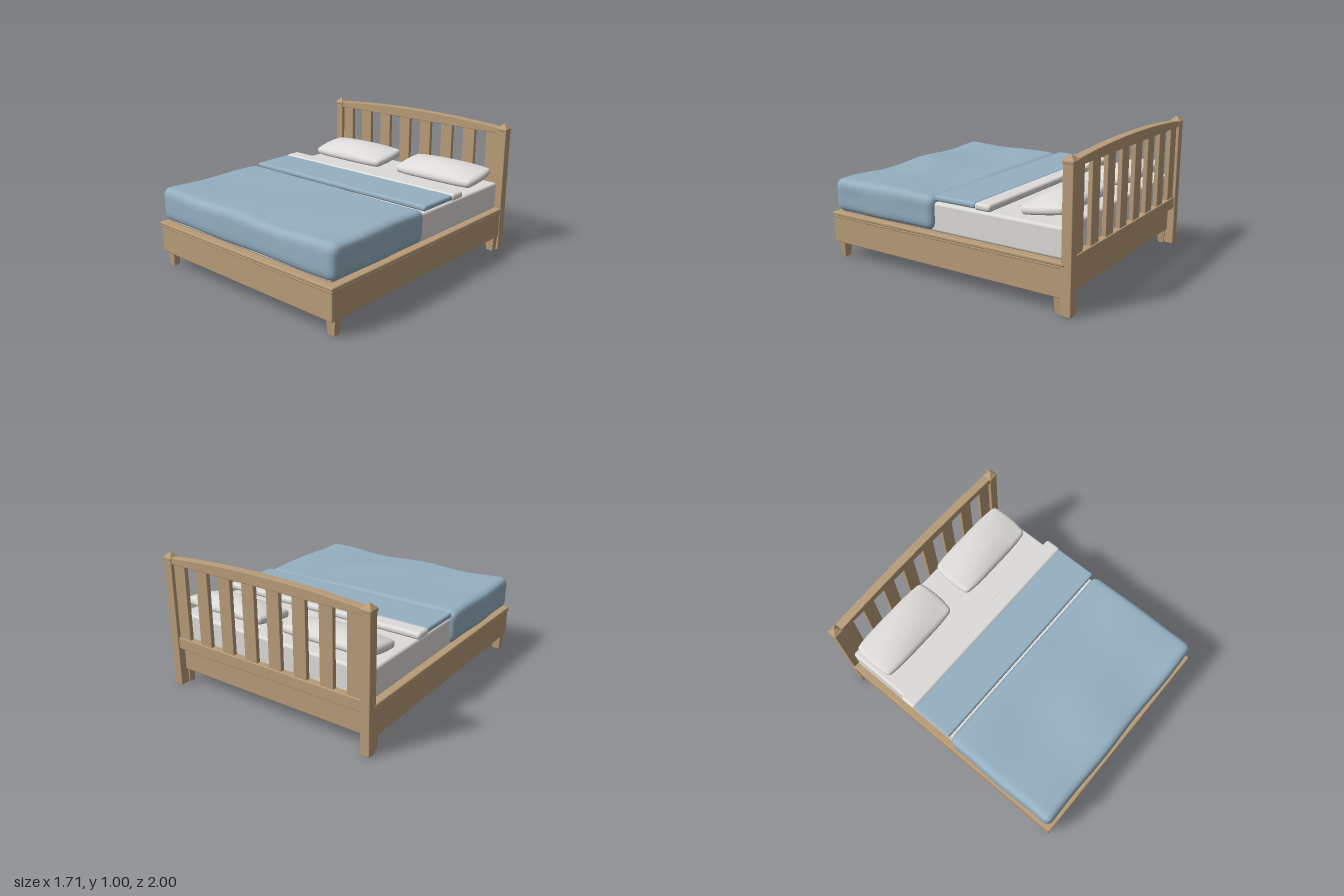
import * as THREE from 'three';
import { mergeVertices } from 'three/addons/utils/BufferGeometryUtils.js';
import { RoundedBoxGeometry } from 'three/addons/geometries/RoundedBoxGeometry.js';

const mat = (name, color) => {
  const m = new THREE.MeshStandardMaterial({ color });
  m.name = name;
  return m;
};

// Finely divided box with rounded edges, then bent by a rule (p, u, v, w in -1..1)
function softBox(w, h, d, r, bend, segs = [48, 10, 32]) {
  let g = new THREE.BoxGeometry(2, 2, 2, ...segs);
  g.deleteAttribute('uv');
  g.deleteAttribute('normal');
  g = mergeVertices(g);
  const pos = g.attributes.position;
  const half = new THREE.Vector3(w / 2, h / 2, d / 2);
  const core = half.clone().subScalar(r);
  const p = new THREE.Vector3(), q = new THREE.Vector3();
  const spread = (t) => 0.6 * Math.sin((t * Math.PI) / 2) + 0.4 * t;
  for (let i = 0; i < pos.count; i++) {
    p.fromBufferAttribute(pos, i);
    p.set(spread(p.x), spread(p.y), spread(p.z)).multiply(half);
    q.copy(p).clamp(core.clone().negate(), core);
    p.sub(q).setLength(r).add(q);
    if (bend) bend(p, p.x / half.x, p.y / half.y, p.z / half.z);
    pos.setXYZ(i, p.x, p.y, p.z);
  }
  g.computeVertexNormals();
  return g;
}

// Four-sided taper with flat faces
function taper(topHalf, bottomHalf, h) {
  const g = new THREE.CylinderGeometry(topHalf * Math.SQRT2, bottomHalf * Math.SQRT2, h, 4)
    .rotateY(Math.PI / 4).toNonIndexed();
  g.computeVertexNormals();
  return g;
}

export function createModel() {
  const bed = new THREE.Group();
  bed.name = 'bed';
  const wood = mat('wood', 0xb89c78);
  const linen = mat('linen', 0xdedcd9);
  const blue = mat('blueCover', 0x95b0c1);

  const add = (name, geo, m, x, y, z) => {
    const mesh = new THREE.Mesh(geo, m);
    mesh.name = name;
    mesh.position.set(x, y, z);
    bed.add(mesh);
    return mesh;
  };
  // Lightly rounded timber given by its limits
  const timber = (name, x0, x1, y0, y1, z0, z1, r = 0.006) =>
    add(name, new RoundedBoxGeometry(x1 - x0, y1 - y0, z1 - z0, 2, r), wood,
      (x0 + x1) / 2, (y0 + y1) / 2, (z0 + z1) / 2);

  // Base with a moulded lip
  timber('baseFrame', -0.848, 0.848, 0.11, 0.32, -0.945, 0.993, 0.008);
  timber('baseBead', -0.852, 0.852, 0.3, 0.318, -0.945, 0.996);
  timber('baseLip', -0.857, 0.857, 0.316, 0.342, -0.95, 1, 0.01);

  // Legs, posts and caps on both sides
  for (const s of [-1, 1]) {
    for (const z of [0.932, -0.902]) {
      const leg = add(z > 0 ? 'frontLeg' : 'backLeg', taper(0.03, 0.022, 0.114), wood, s * 0.805, 0.057, z);
      leg.scale.x = 1.25;
    }
    const x = s * 0.818;
    timber('post', x - 0.035, x + 0.035, 0, 0.955, -0.998, -0.926);
    timber('capPlate', x - 0.039, x + 0.039, 0.945, 0.967, -1, -0.922);
    add('capPyramid', taper(0.001, 0.037, 0.036), wood, x, 0.984, -0.961);
  }

  // Headboard: arched top rail, lower rail and slats
  const arch = new THREE.Shape();
  arch.moveTo(-0.795, 0.927);
  arch.lineTo(0.795, 0.927);
  arch.lineTo(0.795, 0.963);
  arch.quadraticCurveTo(0, 1.033, -0.795, 0.963);
  arch.closePath();
  add('archedRail', new THREE.ExtrudeGeometry(arch, {
    depth: 0.052, curveSegments: 32, bevelThickness: 0.005, bevelSize: 0.004, bevelSegments: 2,
  }), wood, 0, 0, -0.988);
  timber('lowerRail', -0.795, 0.795, 0.29, 0.375, -0.988, -0.936);
  for (let i = 0; i < 8; i++) {
    const x = -0.727 + i * 0.2077;
    timber('slat', x - 0.052, x + 0.052, 0.36, 0.94, -0.978, -0.946, 0.004);
  }

  // Mattress
  add('mattress', new RoundedBoxGeometry(1.62, 0.205, 1.875, 4, 0.02), linen, 0, 0.4425, 0.015);

  // Duvet with soft dips in its top
  const duvetBend = (p, u, v, w) => {
    const top = Math.max(0, v);
    const dips = Math.cos(u * Math.PI * 2.2 + w * 0.7) * (0.6 + 0.4 * w);
    const swell = Math.sin(w * 4 + u * 2.5);
    p.y += top * (0.009 * dips + 0.005 * swell - 0.012);
    p.x -= Math.sign(u) * 0.005 * (1 - Math.cos(w * 5)) * Math.abs(u) * (1 - top);
    p.z -= 0.004 * (1 + Math.sin(u * 7)) * Math.max(0, w);
  };
  add('duvet', softBox(1.7, 0.255, 0.92, 0.06, duvetBend), blue, 0, 0.4735, 0.52);

  // Folded cover strip and sheet edge
  add('coverFold', new RoundedBoxGeometry(1.66, 0.04, 0.335, 5, 0.017), blue, 0, 0.582, -0.115);
  add('sheetFold', new RoundedBoxGeometry(1.675, 0.05, 0.125, 5, 0.022), linen, 0, 0.581, -0.34);

  // Pillows: flat below, domed above, narrowing to the corners
  const pillowBend = (p, u, v, w) => {
    p.y += 0.05 * Math.max(0, v) * (1 - u * u) * (1 - w * w);
    p.x *= 1 - 0.05 * w * w;
    p.z *= 1 - 0.1 * u * u * u * u;
  };
  const pillowGeo = softBox(0.715, 0.056, 0.345, 0.027, pillowBend, [32, 8, 24]);
  for (const s of [-1, 1]) {
    add('pillow', pillowGeo, linen, s * 0.43, 0.611, -0.737).rotation.x = 0.15;
  }
  return bed;
}
